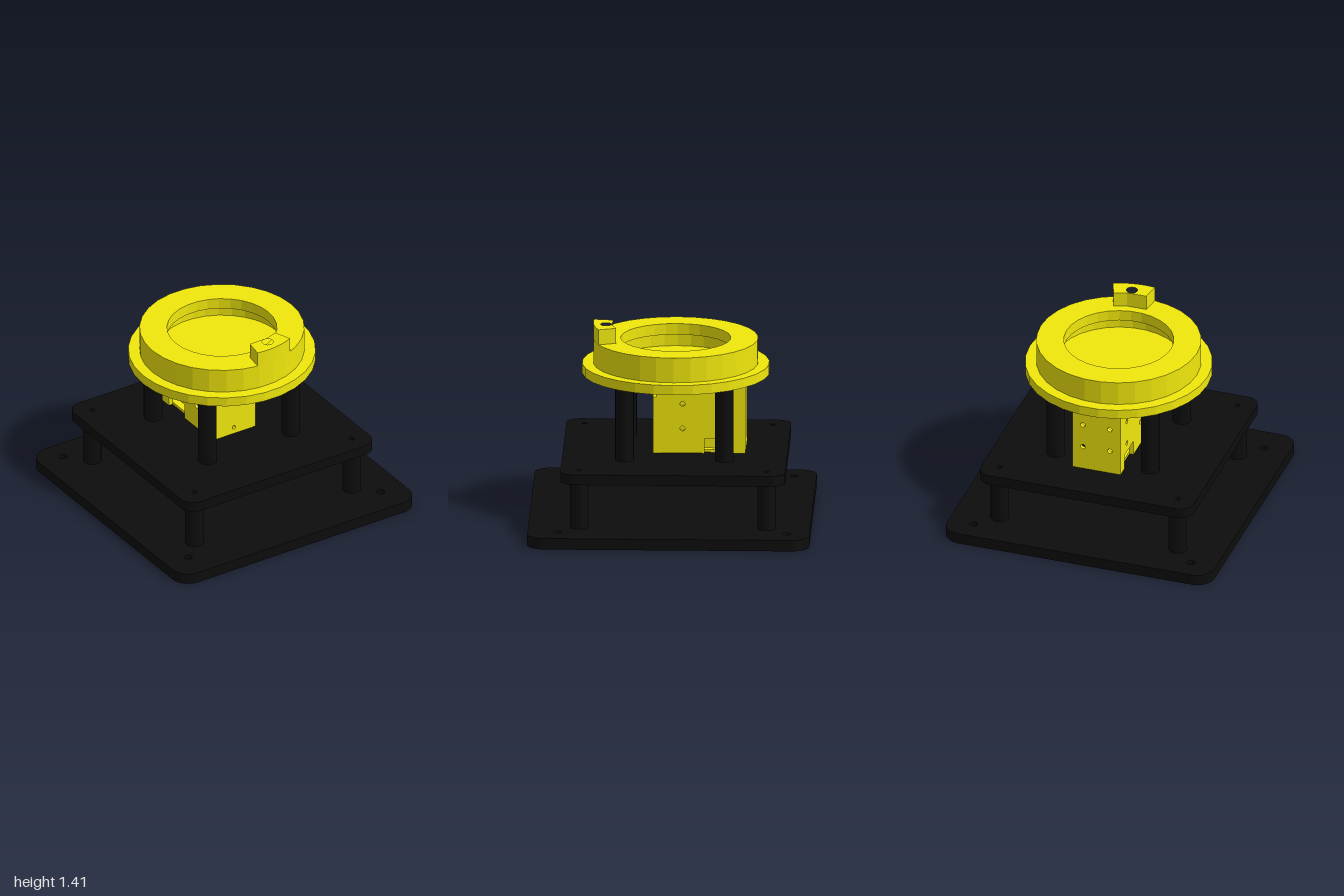
import * as THREE from 'three';

const YELLOW = 0xf0e80c, BLACK = 0x0d0d0d;
const CZ = -0.027; // centre of the upper assembly in z

export function createModel() {
  const model = new THREE.Group();

  function add(name, geometry, color, flat = true) {
    const material = new THREE.MeshStandardMaterial({ color, flatShading: flat });
    const mesh = new THREE.Mesh(geometry, material);
    mesh.name = name;
    model.add(mesh);
    return mesh;
  }

  function hole(shape, x, y, r) {
    const path = new THREE.Path();
    path.absarc(x, y, r, 0, Math.PI * 2, true);
    shape.holes.push(path);
  }

  function polygon(points) {
    return new THREE.Shape(points.map(([x, y]) => new THREE.Vector2(x, y)));
  }

  function roundedRect(cx, cy, hw, hh, r) {
    const s = new THREE.Shape();
    s.absarc(cx + hw - r, cy + hh - r, r, 0, Math.PI / 2);
    s.absarc(cx - hw + r, cy + hh - r, r, Math.PI / 2, Math.PI);
    s.absarc(cx - hw + r, cy - hh + r, r, Math.PI, Math.PI * 1.5);
    s.absarc(cx + hw - r, cy - hh + r, r, Math.PI * 1.5, Math.PI * 2);
    return s;
  }

  const extrude = (shape, depth) =>
    new THREE.ExtrudeGeometry(shape, { depth, bevelEnabled: false, curveSegments: 10 });
  // Horizontal slab from a shape drawn in (x, z)
  const slab = (shape, y0, y1) => extrude(shape, y1 - y0).rotateX(Math.PI / 2).translate(0, y1, 0);
  // Upright wall from a shape drawn in (z, y), spanning x0..x1
  const sideWall = (shape, x0, x1) => extrude(shape, x1 - x0).rotateY(-Math.PI / 2).translate(x1, 0, 0);

  // Calls fn at the four corners of a rectangle centred on CZ
  function corners(dx, dz, fn) {
    for (const sx of [-1, 1]) for (const sz of [-1, 1]) fn(sx * dx, CZ + sz * dz);
  }

  // Two stacked plates with screw holes
  const base = roundedRect(0, 0, 1, 1, 0.13);
  corners(0.813, 0.813, (x, z) => hole(base, x, z, 0.03));
  corners(0.665, 0.665, (x, z) => hole(base, x, z, 0.018));
  add('basePlate', slab(base, 0, 0.08), BLACK);

  const upper = roundedRect(0, CZ, 0.797, 0.797, 0.1);
  corners(0.665, 0.665, (x, z) => hole(upper, x, z, 0.018));
  add('upperPlate', slab(upper, 0.42, 0.495), BLACK);

  // Hollow spacers below, and columns carrying the turntable
  function post(name, x, z, y0, y1) {
    const s = new THREE.Shape();
    s.absarc(x, z, 0.066, 0, Math.PI * 2);
    hole(s, x, z, 0.018);
    add(name, slab(s, y0, y1), BLACK);
  }
  corners(0.665, 0.665, (x, z) => post('lowerSpacer', x, z, 0.08, 0.42));
  corners(0.353, 0.353, (x, z) => post('column', x, z, 0.495, 1.05));

  // Flanged ring with an undercut cavity
  const profile = [
    [0, 1.05], [0.665, 1.05], [0.665, 1.12], [0.585, 1.12], [0.585, 1.3],
    [0.39, 1.3], [0.39, 1.22], [0.46, 1.22], [0.46, 1.12], [0, 1.12],
  ].map(([r, y]) => new THREE.Vector2(r, y));
  add('flangedRing', new THREE.LatheGeometry(profile, 30, Math.PI / 2).translate(0, 0, CZ), YELLOW);
  add('ringUnderside', new THREE.CircleGeometry(0.664, 30).rotateX(Math.PI / 2).translate(0, 1.048, CZ), BLACK);

  // Raised lug on the ring, its outer edge following the rim
  const lug = polygon([[0.225, 0.51], [0.18, 0.39], [0.09, 0.42], [-0.055, 0.42], [-0.075, 0.553]]);
  lug.absarc(0, CZ, 0.585, 1.699, 1.176, true);
  hole(lug, 0.067, 0.465, 0.04);
  add('lug', slab(lug, 1.3, 1.41), YELLOW);
  add('lugInsert', new THREE.CylinderGeometry(0.03, 0.03, 0.04, 16).translate(0.07, 1.32, 0.465), BLACK);

  // Housing: two drilled side walls with a cable notch near the back
  for (const s of [-1, 1]) {
    const wall = polygon([
      [0.13, 0.5], [0.13, 0.91], [0.105, 0.91], [0.105, 1], [-0.525, 1], [-0.525, 0.5],
      [-0.44, 0.5], [-0.44, 0.61], [-0.235, 0.61], [-0.235, 0.5],
    ]);
    for (const z of [-0.08, -0.38]) for (const y of [0.68, 0.86]) hole(wall, z, y, 0.018);
    add('housingSide', s > 0 ? sideWall(wall, 0.15, 0.18) : sideWall(wall, -0.18, -0.15), YELLOW);
  }

  // Housing front, back and lid
  const front = polygon([[-0.15, 0.5], [0.15, 0.5], [0.15, 0.91], [-0.15, 0.91]]);
  hole(front, 0, 0.55, 0.014);
  add('housingFront', extrude(front, 0.03).translate(0, 0, 0.1), YELLOW);

  const back = polygon([[-0.15, 0.5], [0.15, 0.5], [0.15, 1], [-0.15, 1]]);
  for (const x of [-0.1, 0.1]) for (const y of [0.68, 0.86]) hole(back, x, y, 0.018);
  add('housingBack', extrude(back, 0.03).translate(0, 0, -0.525), YELLOW);

  add('housingLid', new THREE.BoxGeometry(0.3, 0.03, 0.6).translate(0, 0.985, -0.195), YELLOW);
  add('housingLidFront', new THREE.BoxGeometry(0.3, 0.09, 0.03).translate(0, 0.94, 0.09), YELLOW);
  // Low block seen through the notch
  add('housingFloor', new THREE.BoxGeometry(0.3, 0.02, 0.6).translate(0, 0.51, -0.195), YELLOW);
  add('innerBlock', new THREE.BoxGeometry(0.2, 0.07, 0.28).translate(0, 0.555, -0.34), YELLOW);

  return model;
}
